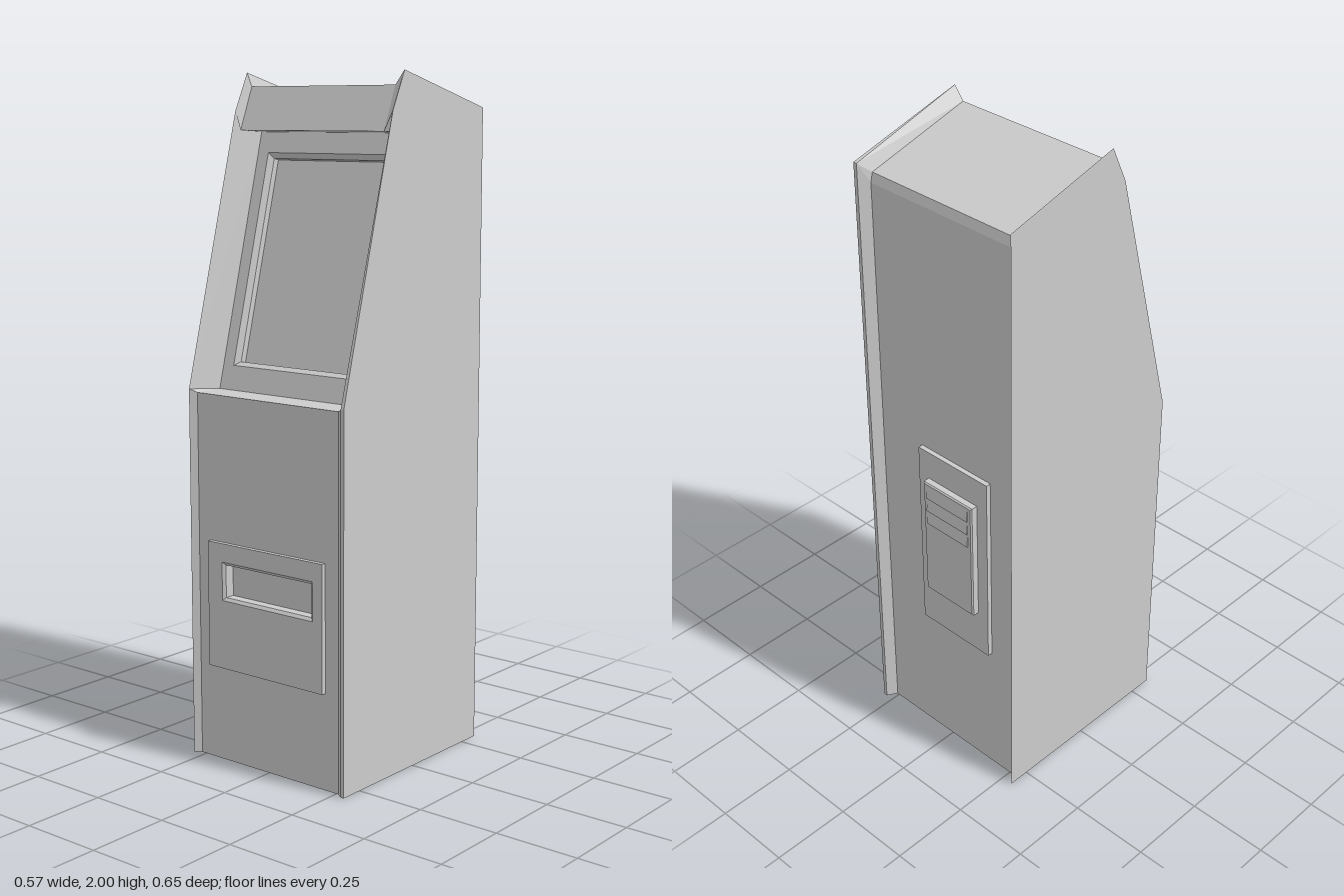
import * as THREE from 'three';

const material = new THREE.MeshStandardMaterial({ color: 0xcccccc, flatShading: true });

// Collects flat-shaded faces (corners counter-clockwise) into one mesh.
function faceMesh(name, faces) {
  const pos = [];
  const [a, b, c] = [0, 1, 2].map(() => new THREE.Vector3());
  const tri = new THREE.Triangle(a, b, c);
  for (const f of faces) {
    for (let i = 1; i < f.length - 1; i++) {
      a.set(...f[0]); b.set(...f[i]); c.set(...f[i + 1]);
      if (tri.getArea() > 1e-7) pos.push(...f[0], ...f[i], ...f[i + 1]);
    }
  }
  const geo = new THREE.BufferGeometry();
  geo.setAttribute('position', new THREE.Float32BufferAttribute(pos, 3));
  geo.computeVertexNormals();
  const mesh = new THREE.Mesh(geo, material);
  mesh.name = name;
  return mesh;
}

// Joins successive rectangles [x0, x1, y0, y1, z] facing +z; optionally caps the last.
function rectLoft(name, rects, cap = true) {
  const loops = rects.map(([x0, x1, y0, y1, z]) => [[x0, y0, z], [x1, y0, z], [x1, y1, z], [x0, y1, z]]);
  const faces = [];
  for (let k = 0; k < loops.length - 1; k++) {
    for (let i = 0; i < 4; i++) {
      const j = (i + 1) % 4;
      faces.push([loops[k][i], loops[k][j], loops[k + 1][j], loops[k + 1][i]]);
    }
  }
  if (cap) faces.push(loops[loops.length - 1]);
  return faceMesh(name, faces);
}

const inset = ([x0, x1, y0, y1], d, z) => [x0 + d, x1 - d, y0 + d, y1 - d, z];

const L = -0.267, R = 0.257;

// Matching (z, y) outlines: inner cabinet and the outer edge of the side panels.
const core = [[0.308, 0], [0.308, 1.09], [0.213, 1.09], [0.02, 1.83], [0.112, 1.835],
  [0.062, 1.96], [-0.278, 1.868], [-0.285, 1.84], [-0.285, 0]];
const rim = [[0.322, 0], [0.322, 1.1], [0.322, 1.1], [0.112, 1.89], [0.112, 1.89],
  [0.06, 2], [-0.316, 1.9], [-0.316, 1.9], [-0.316, 0]];
const rimX = [0.276, 0.276, 0.276, 0.286, 0.286, 0.286, 0.275, 0.275, 0.275];

const section = (outline, x) => outline.map(([z, y], i) => [Array.isArray(x) ? x[i] : x, y, z]);

// Faces between two sections, the first one on the -x side.
function strips(a, b, skip = []) {
  const faces = [];
  a.forEach((p, i) => {
    const j = (i + 1) % a.length;
    if (!skip.includes(i)) faces.push([p, b[i], b[j], a[j]]);
  });
  return faces;
}

export function createModel() {
  const model = new THREE.Group();
  model.name = 'kiosk';

  // Cabinet shell without its front and screen faces
  const outerLeft = section(rim, -0.287), outerRight = section(rim, 0.287);
  const coreLeft = section(core, L), coreRight = section(core, R);
  const rimRight = section(rim, rimX);
  model.add(faceMesh('cabinet', strips(coreLeft, coreRight, [0, 2])));

  // Flared side panels
  model.add(faceMesh('rightSidePanel', [...strips(outerLeft, coreLeft), outerLeft]));
  model.add(faceMesh('leftSidePanel', [
    ...strips(coreRight, rimRight), ...strips(rimRight, outerRight), [...outerRight].reverse()]));

  // Lower front with raised door and dispensing slot
  const door = [-0.22, 0.21, 0.285, 0.66];
  const slot = [-0.165, 0.175, 0.49, 0.605];
  model.add(rectLoft('lowerFront', [[L, R, 0, 1.09, 0.308], inset(door, 0, 0.308)], false));
  model.add(rectLoft('frontDoor', [
    inset(door, 0, 0.308), inset(door, 0, 0.322),
    inset(slot, 0, 0.322), inset(slot, 0.009, 0.315), inset(slot, 0.009, 0.285)]));

  // Tilted bezel with recessed screen
  const rise = 0.74, run = 0.193;
  const opening = [-0.228, 0.217, 0.072, 0.703];
  const display = new THREE.Group();
  display.name = 'display';
  display.position.set(0, 1.09, 0.213);
  display.rotation.x = -Math.atan2(run, rise);
  display.add(rectLoft('bezel', [
    [L, R, 0, Math.hypot(rise, run), 0], inset(opening, 0, 0),
    inset(opening, 0.014, -0.014), inset(opening, 0.014, -0.033)], false));
  display.add(rectLoft('screen', [inset(opening, 0.014, -0.033)]));
  model.add(display);

  // Rear service plate, vent box and louvres
  const rear = new THREE.Group();
  rear.name = 'rearVent';
  rear.rotation.y = Math.PI;
  const plate = [-0.094, 0.177, 0.445, 1.07];
  const box = [-0.055, 0.138, 0.59, 0.98];
  rear.add(rectLoft('ventPlate', [inset(plate, 0, 0.285), inset(plate, 0, 0.3)]));
  rear.add(rectLoft('ventBox', [
    inset(box, 0, 0.3), inset(box, 0, 0.319), inset(box, 0.004, 0.323)]));
  for (let i = 0; i < 3; i++) {
    const y = 0.84 + i * 0.045;
    rear.add(rectLoft('louvre', [
      [-0.04, 0.123, y, y + 0.04, 0.323], [-0.04, 0.123, y, y + 0.006, 0.327]]));
  }
  model.add(rear);
  return model;
}
